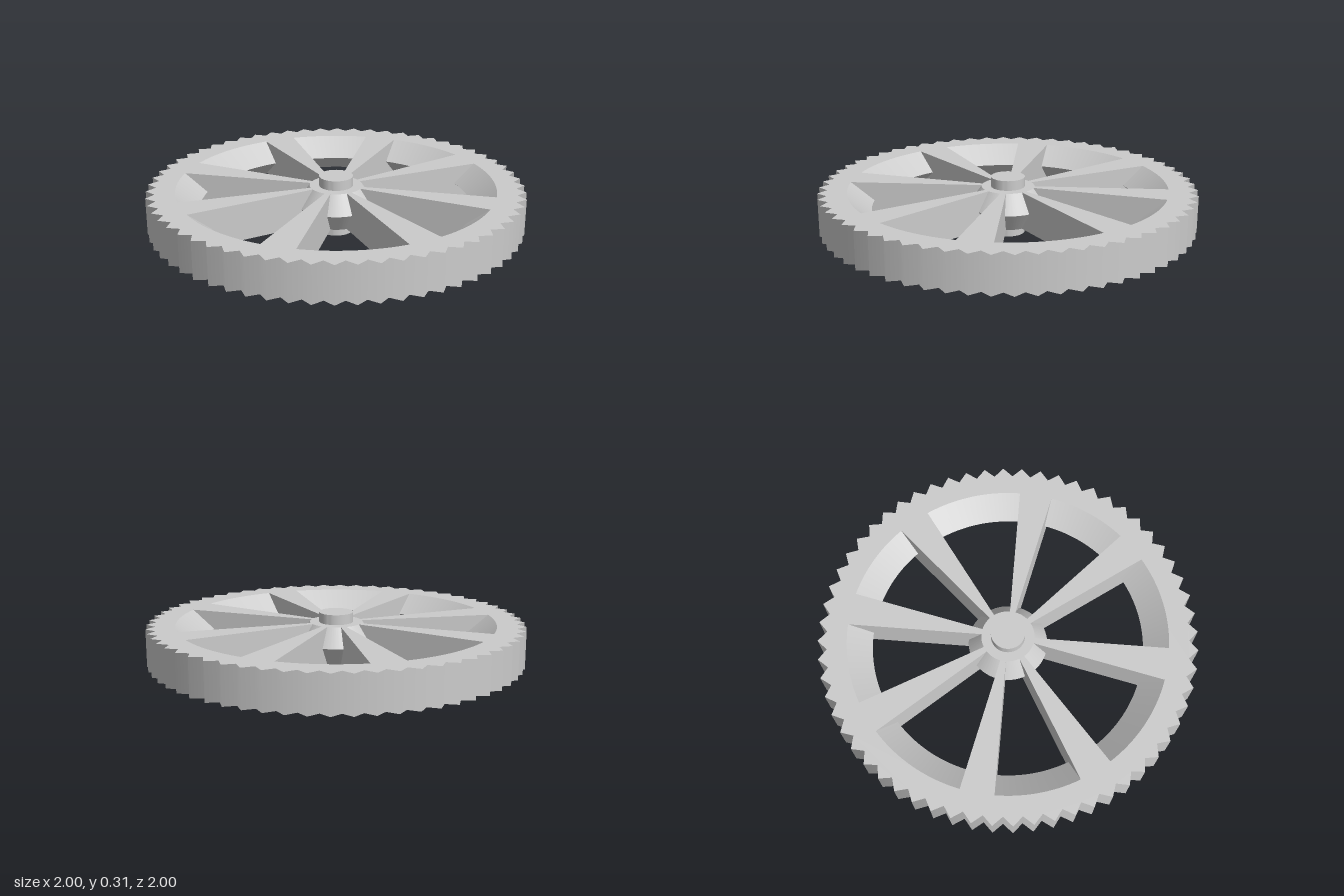
import * as THREE from 'three';
import { toCreasedNormals } from 'three/addons/utils/BufferGeometryUtils.js';

const TEETH = 60, STEP = (Math.PI * 2) / TEETH;
const BOTTOM = 0.055, TOP = 0.255, MID = (BOTTOM + TOP) / 2;
const HUB_R = 0.14, WINDOW_R = 0.847, VALLEY_R = 0.952;
// Spoke centres, counted in teeth clockwise from the back; each spoke is two teeth wide
const SPOKES = [0, 7, 15, 22, 30, 38, 45, 53, 60];

const material = new THREE.MeshStandardMaterial({ color: 0xcccccc });

// Point at radius r, turned by t teeth clockwise
const polar = (r, t) => new THREE.Vector2(r * Math.sin(t * STEP), r * Math.cos(t * STEP));

function mesh(name, geometry) {
  const m = new THREE.Mesh(geometry, material);
  m.name = name;
  return m;
}

// Turned part with sharp edges, from [radius, height] pairs
function turned(name, profile, segments) {
  const points = profile.map(([r, y]) => new THREE.Vector2(r, y));
  return mesh(name, toCreasedNormals(new THREE.LatheGeometry(points, segments), 0.5));
}

// Window between two spokes: a counter-clockwise sector bounded by arcs at the rim and the hub
function windowHole(from, to) {
  const n = (to - from) * 3;
  const outer = [], inner = [];
  for (let i = 0; i <= n; i++) {
    const t = from + i / 3;
    outer.unshift(polar(WINDOW_R, t));
    inner.push(polar(HUB_R, t));
  }
  return new THREE.Path([...outer, ...inner]);
}

// Shade the tooth flanks smoothly around the rim
function smoothTeeth(geometry) {
  const { position, normal } = geometry.attributes;
  for (let i = 0; i < position.count; i++) {
    const x = position.getX(i), z = position.getZ(i), r = Math.hypot(x, z);
    if (r > VALLEY_R - 0.01 && Math.abs(normal.getY(i)) < 0.5) normal.setXYZ(i, x / r, 0, z / r);
  }
}

export function createModel() {
  const group = new THREE.Group();
  group.name = 'spokedGearWheel';

  // Toothed rim and tapering spokes, cut from one plate
  const outline = [];
  for (let i = 0; i < TEETH; i++) outline.push(polar(1, i), polar(VALLEY_R, i + 0.5));
  const plate = new THREE.Shape(outline);
  for (let i = 0; i < SPOKES.length - 1; i++) {
    plate.holes.push(windowHole(SPOKES[i] + 1, SPOKES[i + 1] - 1));
  }
  const wheel = new THREE.ExtrudeGeometry(plate, { depth: TOP - BOTTOM, bevelEnabled: false });
  wheel.rotateX(-Math.PI / 2).translate(0, BOTTOM, 0);
  smoothTeeth(wheel);
  group.add(mesh('toothedRimAndSpokes', wheel));

  // V-shaped ridge inside the rim
  group.add(turned('rimInnerRidge', [[WINDOW_R, TOP], [0.722, MID], [WINDOW_R, BOTTOM]], 180));

  // Double-cone hub
  group.add(turned('hub', [[HUB_R, BOTTOM], [0.21, MID], [HUB_R, TOP]], 180));

  // Axle through the hub
  group.add(turned('axle', [[0, 0], [0.09, 0], [0.09, 0.308], [0, 0.308]], 64));

  return group;
}
